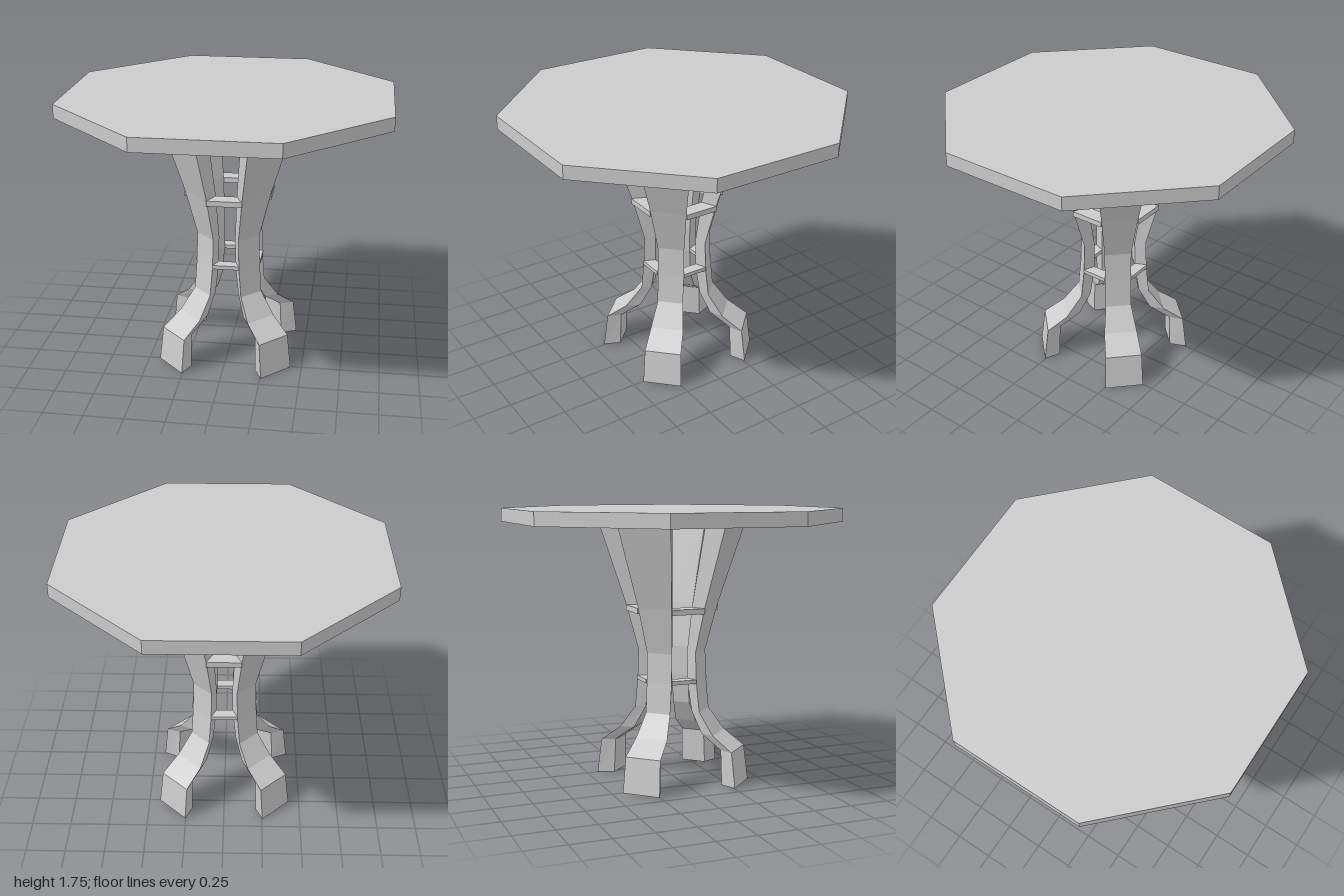
import * as THREE from 'three';

const material = new THREE.MeshStandardMaterial({ color: 0xcccccc, flatShading: true });

// Leg sections: height, outer radius, inner radius, outer half width
const SECTIONS = [
  [0.00, 0.484, 0.380, 0.124],
  [0.225, 0.456, 0.370, 0.117],
  [0.32, 0.325, 0.237, 0.106],
  [0.46, 0.224, 0.161, 0.083],
  [0.65, 0.205, 0.133, 0.085],
  [0.84, 0.198, 0.130, 0.085],
  [1.13, 0.269, 0.170, 0.113],
  [1.655, 0.430, 0.276, 0.177],
];
const INNER_TAPER = 0.68;

// Loft a wedge-shaped section, narrower towards the table's axis
function legGeometry() {
  const positions = [];
  const index = [];
  for (const [y, outer, inner, h] of SECTIONS) {
    const hi = h * INNER_TAPER;
    positions.push(h, y, outer, hi, y, inner, -hi, y, inner, -h, y, outer);
  }
  for (let i = 0; i < SECTIONS.length - 1; i++) {
    for (let j = 0; j < 4; j++) {
      const a = i * 4 + j;
      const b = i * 4 + (j + 1) % 4;
      index.push(a, b, b + 4, a, b + 4, a + 4);
    }
  }
  const t = (SECTIONS.length - 1) * 4;
  index.push(0, 2, 1, 0, 3, 2, t, t + 1, t + 2, t, t + 2, t + 3);
  const indexed = new THREE.BufferGeometry();
  indexed.setAttribute('position', new THREE.Float32BufferAttribute(positions, 3));
  indexed.setIndex(index);
  const geometry = indexed.toNonIndexed();
  geometry.computeVertexNormals();
  return geometry;
}

// Flat trapezoid plate filling the gap between two neighbouring legs
function stretcherGeometry(outerX, outerZ, innerX, innerZ, top, thickness) {
  const shape = new THREE.Shape([
    new THREE.Vector2(-innerX, innerZ),
    new THREE.Vector2(innerX, innerZ),
    new THREE.Vector2(outerX, outerZ),
    new THREE.Vector2(-outerX, outerZ),
  ]);
  const geometry = new THREE.ExtrudeGeometry(shape, { depth: thickness, bevelEnabled: false });
  geometry.rotateX(Math.PI / 2);
  geometry.translate(0, top, 0);
  return geometry;
}

export function createModel() {
  const group = new THREE.Group();
  const add = (name, geometry, turn = 0) => {
    const mesh = new THREE.Mesh(geometry, material);
    mesh.name = name;
    mesh.rotation.y = turn;
    group.add(mesh);
  };

  // Octagonal top with a slightly dished underside
  const R = 1 / Math.cos(Math.PI / 8);
  const profile = [[0, 1.643], [R, 1.66], [R, 1.745], [0, 1.745]].map(p => new THREE.Vector2(...p));
  add('tableTop', new THREE.LatheGeometry(profile, 8, Math.PI / 8));

  // Four legs on the diagonals, tied by two rings of stretchers
  const leg = legGeometry();
  const upper = stretcherGeometry(0.11, 0.274, 0.065, 0.175, 1.13, 0.035);
  const lower = stretcherGeometry(0.084, 0.209, 0.053, 0.135, 0.67, 0.025);
  for (let i = 0; i < 4; i++) {
    const turn = i * Math.PI / 2;
    add('leg' + (i + 1), leg, turn + Math.PI / 4);
    add('upperStretcher' + (i + 1), upper, turn);
    add('lowerStretcher' + (i + 1), lower, turn);
  }
  return group;
}
